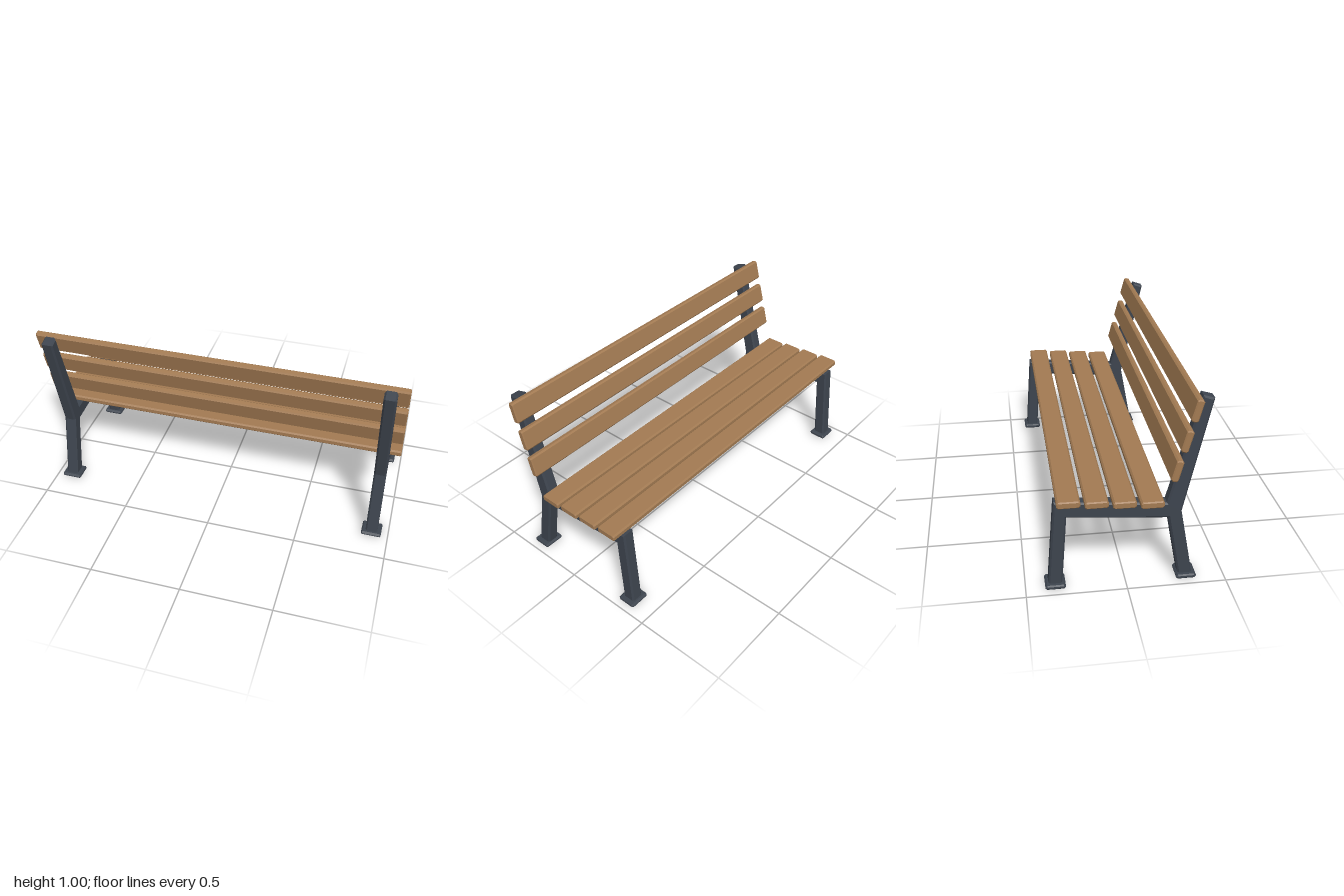
import * as THREE from 'three';

const wood = new THREE.MeshStandardMaterial({ color: 0xa27a52 });
wood.name = 'wood';
const iron = new THREE.MeshStandardMaterial({ color: 0x3d444e });
iron.name = 'darkIron';

// Chamfered prism: outline given as [z, y] points, centred across x
function prism(points, width, bevel) {
  const shape = new THREE.Shape(points.map(([z, y]) => new THREE.Vector2(z, y)));
  const geometry = new THREE.ExtrudeGeometry(shape, {
    depth: width - 2 * bevel,
    bevelEnabled: true,
    bevelThickness: bevel,
    bevelSize: bevel,
    bevelOffset: -bevel,
    bevelSegments: 1,
  });
  geometry.translate(0, 0, bevel - width / 2);
  return geometry.rotateY(-Math.PI / 2);
}

// Chamfered block: rectangle with cut corners, chamfered at both ends too
function block(length, height, depth, c) {
  const z = depth / 2, y = height / 2;
  return prism([
    [-z + c, -y], [z - c, -y], [z, -y + c], [z, y - c],
    [z - c, y], [-z + c, y], [-z, y - c], [-z, -y + c],
  ], length, c * 0.7);
}

function add(group, name, geometry, material, x, y, z, tilt = 0) {
  const mesh = new THREE.Mesh(geometry, material);
  mesh.name = name;
  mesh.position.set(x, y, z);
  mesh.rotation.x = tilt;
  group.add(mesh);
}

export function createModel() {
  const bench = new THREE.Group();
  bench.name = 'bench';

  // Side frames: rear leg, back post, seat beam and front leg in one outline
  const frame = prism([
    [0.339, 0.015], [0.272, 0.387], [0.403, 0.98], [0.347, 0.998],
    [0.197, 0.44], [-0.352, 0.485], [-0.387, 0.015], [-0.317, 0.015],
    [-0.291, 0.396], [0.207, 0.354], [0.267, 0.015],
  ], 0.066, 0.009);
  const foot = block(0.11, 0.024, 0.102, 0.009);
  for (const side of [-1, 1]) {
    const sideFrame = new THREE.Group();
    sideFrame.name = side > 0 ? 'leftFrame' : 'rightFrame';
    sideFrame.position.x = side * 0.907;
    add(sideFrame, 'frame', frame, iron, 0, 0, 0);
    add(sideFrame, 'rearFoot', foot, iron, 0, 0.012, 0.306);
    add(sideFrame, 'frontFoot', foot, iron, 0, 0.012, -0.352);
    bench.add(sideFrame);
  }

  // Slats: four level seat slats stepping up, three leaning back slats
  const slat = block(2, 0.036, 0.113, 0.008);
  for (let i = 0; i < 4; i++) {
    add(bench, `seatSlat${i + 1}`, slat, wood, 0, 0.47 + i * 0.011, 0.116 - i * 0.134);
  }
  const lean = THREE.MathUtils.degToRad(15);
  for (let i = 0; i < 3; i++) {
    add(bench, `backSlat${i + 1}`, slat, wood, 0, 0.643 + i * 0.152, 0.228 + i * 0.0405, lean - Math.PI / 2);
  }
  return bench;
}
